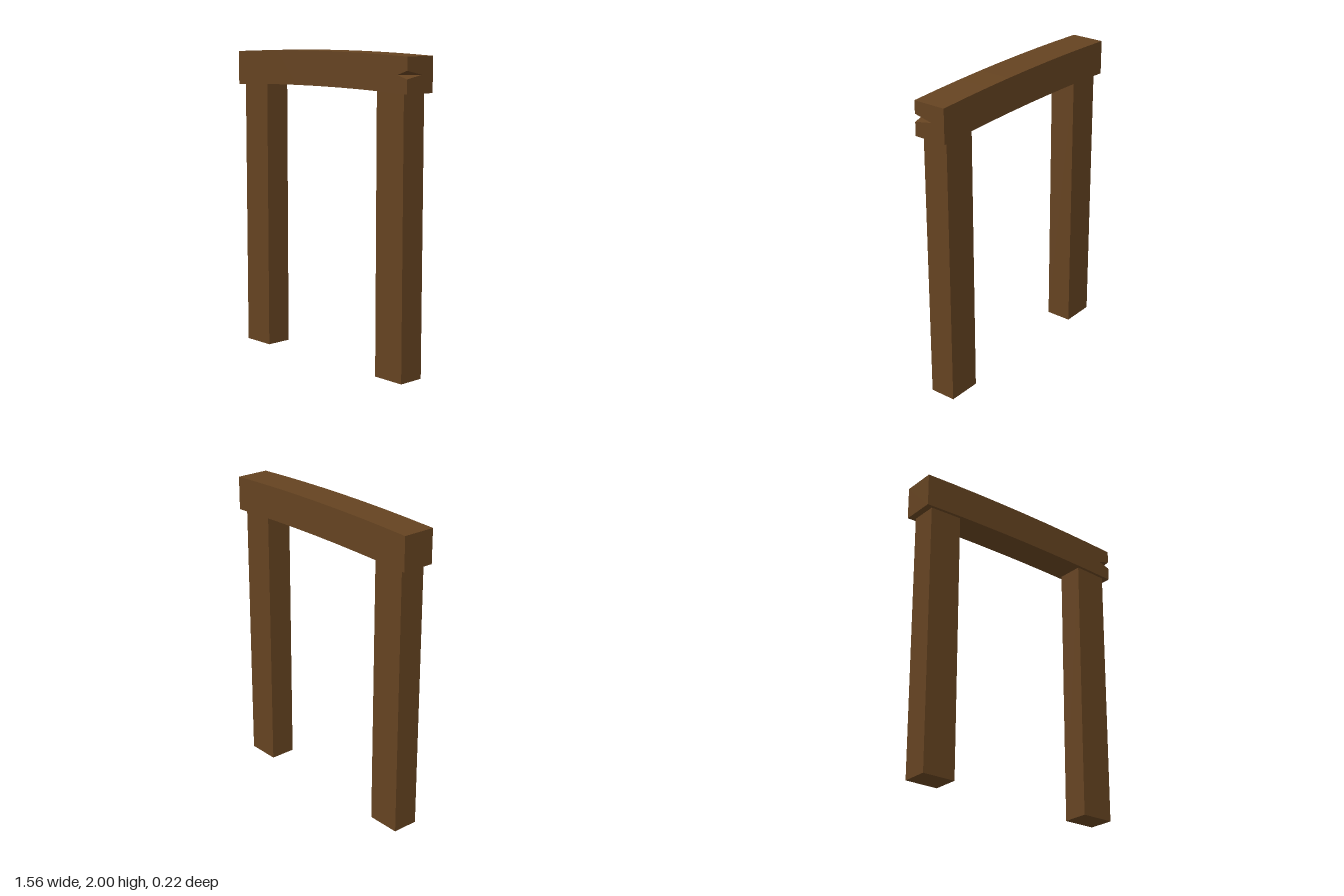
import * as THREE from 'three';

const HALF_LENGTH = 0.78, HALF_DEPTH = 0.11, HEIGHT = 0.22, SAG = 0.018;

// Gently arched beam with a wedge notch split out of its front left corner
function beamGeometry() {
  const positions = [];
  // Triangulates a flat polygon and winds it to face the outward direction
  const addFace = (points, outward) => {
    const out = new THREE.Vector3(...outward);
    const flat = points.map((p) =>
      Math.abs(out.z) > 0.9 ? new THREE.Vector2(p.x, p.y)
        : Math.abs(out.x) > 0.9 ? new THREE.Vector2(p.z, p.y)
          : new THREE.Vector2(p.x, p.z));
    for (const tri of THREE.ShapeUtils.triangulateShape(flat, [])) {
      const [a, b, c] = tri.map((i) => points[i]);
      const normal = b.clone().sub(a).cross(c.clone().sub(a));
      const ordered = normal.dot(out) < 0 ? [a, c, b] : [a, b, c];
      ordered.forEach((p) => positions.push(p.x, p.y, p.z));
    }
  };
  const v = (x, y, z) => new THREE.Vector3(x, y, z);
  const topY = (x) => 2 - SAG * (x / HALF_LENGTH) ** 2;

  const steps = 8;
  const xs = Array.from({ length: steps + 1 }, (_, i) => HALF_LENGTH * (2 * i / steps - 1));
  const edge = (z, drop) => xs.map((x) => v(x, topY(x) - drop, z));
  const frontTop = edge(HALF_DEPTH, 0), frontBottom = edge(HALF_DEPTH, HEIGHT);
  const backTop = edge(-HALF_DEPTH, 0), backBottom = edge(-HALF_DEPTH, HEIGHT);

  // Notch corners: mouth on the beam edge, crease running inside
  const upper = v(HALF_LENGTH, 1.9, HALF_DEPTH);
  const lower = v(HALF_LENGTH, 1.85, HALF_DEPTH);
  const frontTip = v(0.7, 1.873, HALF_DEPTH);
  const sideTip = v(HALF_LENGTH, 1.873, -0.015);

  // Front and back
  addFace([...frontBottom, lower, frontTip, upper, ...frontTop.slice().reverse()], [0, 0, 1]);
  addFace([...backBottom, ...backTop.slice().reverse()], [0, 0, -1]);
  // Arched top and underside
  for (let i = 0; i < steps; i++) {
    addFace([frontTop[i], frontTop[i + 1], backTop[i + 1], backTop[i]], [0, 1, 0]);
    addFace([frontBottom[i], frontBottom[i + 1], backBottom[i + 1], backBottom[i]], [0, -1, 0]);
  }
  // Ends
  addFace([frontBottom[0], frontTop[0], backTop[0], backBottom[0]], [-1, 0, 0]);
  addFace([frontBottom[steps], lower, sideTip, upper, frontTop[steps],
    backTop[steps], backBottom[steps]], [1, 0, 0]);
  // Notch floor and ceiling
  addFace([frontTip, lower, sideTip], [0, 1, 0]);
  addFace([frontTip, upper, sideTip], [0, -1, 0]);

  const geometry = new THREE.BufferGeometry();
  geometry.setAttribute('position', new THREE.Float32BufferAttribute(positions, 3));
  geometry.computeVertexNormals();
  return geometry;
}

export function createModel() {
  const group = new THREE.Group();
  group.name = 'timberDoorFrame';
  const wood = new THREE.MeshStandardMaterial({ color: 0x654321 });
  wood.name = 'brown wood';

  const beam = new THREE.Mesh(beamGeometry(), wood);
  beam.name = 'lintelBeam';
  group.add(beam);

  // Square posts, their tops buried slightly in the beam
  const postHeight = 1.785;
  for (const [side, name] of [[1, 'leftPost'], [-1, 'rightPost']]) {
    const post = new THREE.Mesh(new THREE.BoxGeometry(0.224, postHeight, 0.174), wood);
    post.name = name;
    post.position.set(side * 0.623, postHeight / 2, 0.002);
    group.add(post);
  }
  return group;
}
